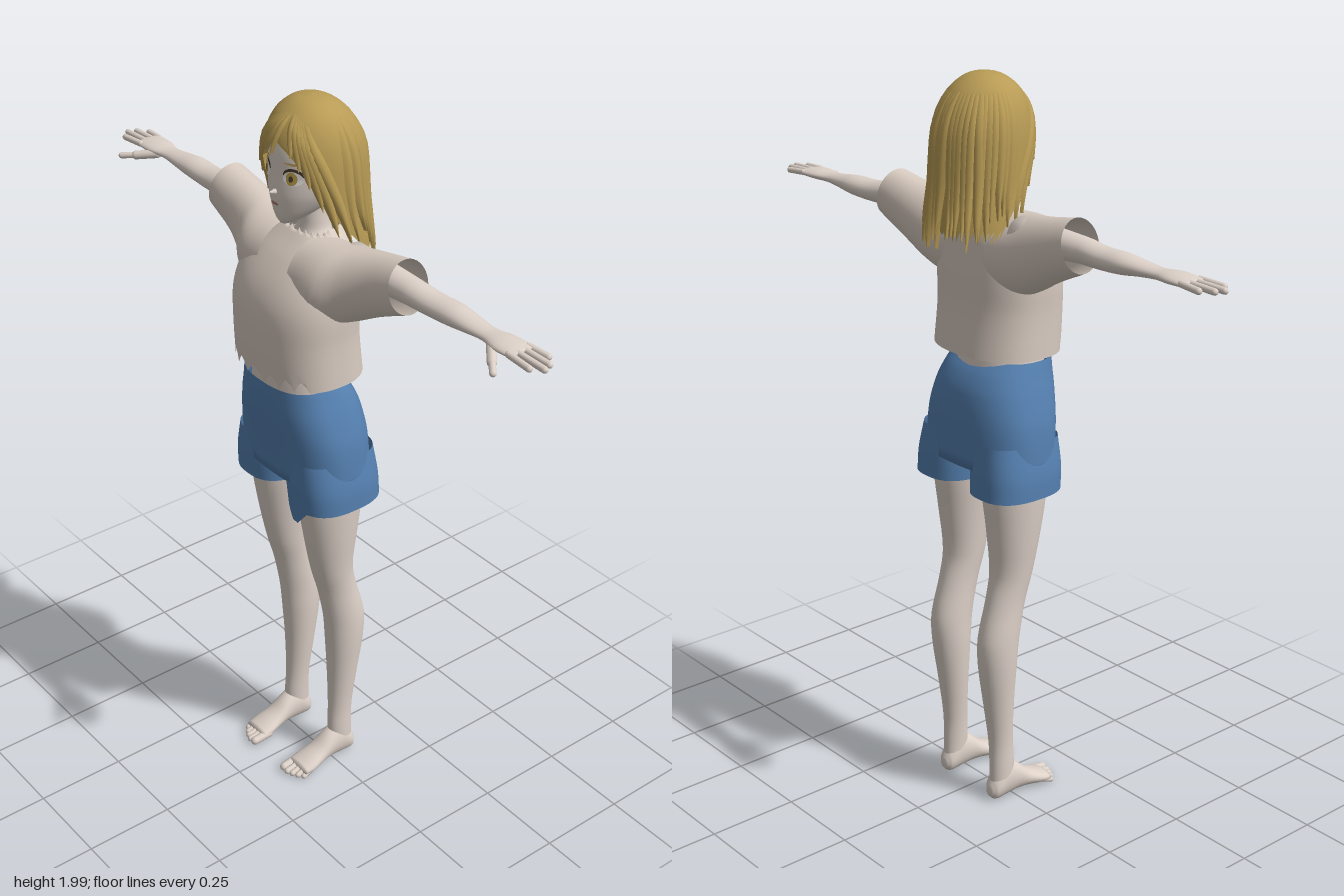
import * as THREE from 'three';

const mat = (name, color) => {
  const m = new THREE.MeshStandardMaterial({ color, side: THREE.DoubleSide });
  m.name = name;
  return m;
};

// Smooth interpolation of a table whose first column is a rising key
function sample(rows, v) {
  const n = rows.length;
  let i = 0;
  while (i < n - 2 && v > rows[i + 1][0]) i++;
  const a = rows[i], b = rows[i + 1], p = rows[Math.max(i - 1, 0)], q = rows[Math.min(i + 2, n - 1)];
  const h = b[0] - a[0], t = THREE.MathUtils.clamp((v - a[0]) / h, 0, 1);
  const t2 = t * t, t3 = t2 * t;
  return a.map((_, c) => {
    if (c === 0) return v;
    const ma = ((b[c] - p[c]) / (b[0] - p[0])) * h, mb = ((q[c] - a[c]) / (q[0] - a[0])) * h;
    return (2 * t3 - 3 * t2 + 1) * a[c] + (t3 - 2 * t2 + t) * ma + (3 * t2 - 2 * t3) * b[c] + (t3 - t2) * mb;
  });
}

const refine = (rows, k = 4) => {
  const out = [];
  for (let i = 0; i < rows.length - 1; i++)
    for (let j = 0; j < k; j++) out.push(sample(rows, THREE.MathUtils.lerp(rows[i][0], rows[i + 1][0], j / k)));
  out.push(rows[rows.length - 1]);
  return out;
};

// Surface through rows of points; closed rows wrap round, caps fill the ends
function skinOver(rings, closed = true, capStart = false, capEnd = false) {
  const n = rings[0].length, pos = rings.flat(2), idx = [];
  const cols = closed ? n : n - 1;
  for (let r = 0; r < rings.length - 1; r++)
    for (let i = 0; i < cols; i++) {
      const a = r * n + i, b = r * n + ((i + 1) % n), c = a + n, d = b + n;
      idx.push(a, b, c, b, d, c);
    }
  const cap = (r, flip) => {
    const ctr = [0, 1, 2].map(k => rings[r].reduce((s, p) => s + p[k], 0) / n), ci = pos.length / 3;
    pos.push(...ctr);
    for (let i = 0; i < n; i++) {
      const a = r * n + i, b = r * n + ((i + 1) % n);
      flip ? idx.push(ci, b, a) : idx.push(ci, a, b);
    }
  };
  if (capStart) cap(0, true);
  if (capEnd) cap(rings.length - 1, false);
  const g = new THREE.BufferGeometry();
  g.setAttribute('position', new THREE.Float32BufferAttribute(pos, 3));
  g.setIndex(idx);
  g.computeVertexNormals();
  return g;
}

const pw = (v, e) => Math.sign(v) * Math.abs(v) ** (2 / e);
// Horizontal ring from [y, centreX, radiusX, zFront, zBack]
const ringY = ([y, cx, rx, zf, zb], n = 32, e = 2) => Array.from({ length: n }, (_, i) => {
  const t = (i / n) * Math.PI * 2;
  return [cx + rx * pw(Math.sin(t), e), y, (zf + zb) / 2 + ((zf - zb) / 2) * pw(Math.cos(t), e)];
});
// Ring round the x axis from [x, yTop, yBottom, zFront, zBack, slant]
const ringX = ([x, yt, yb, zf, zb, slant = 0], n = 32) => Array.from({ length: n }, (_, i) => {
  const t = (i / n) * Math.PI * 2, c = Math.cos(t);
  return [x - slant * c, (yt + yb) / 2 + ((yt - yb) / 2) * c, (zf + zb) / 2 + ((zf - zb) / 2) * Math.sin(t)];
});
// Ring round the z axis from [z, centreX, radiusX, yTop, yBottom]
const ringZ = ([z, cx, rx, yt, yb], n = 24) => Array.from({ length: n }, (_, i) => {
  const t = (i / n) * Math.PI * 2;
  return [cx + rx * Math.sin(t), (yt + yb) / 2 + ((yt - yb) / 2) * Math.cos(t), z];
});

export function createModel() {
  const model = new THREE.Group();
  const skin = mat('skin', 0xddd1c8), cloth = mat('shirt cloth', 0xd8cbc0), denim = mat('blue shorts', 0x5580b0);
  const blond = mat('blond hair', 0xb89b55), white = mat('eye white', 0xeeeae6), gold = mat('iris', 0xb59a4c);
  const dark = mat('lashes', 0x4a3b2c), lip = mat('lips', 0xa8746a);
  const add = (name, geo, m, parent = model) => {
    const mesh = new THREE.Mesh(geo, m);
    mesh.name = name;
    parent.add(mesh);
    return mesh;
  };
  const limb = (name, a, b, r, parent, flat = 1) => {
    const A = new THREE.Vector3(...a), B = new THREE.Vector3(...b), d = B.clone().sub(A);
    const m = add(name, new THREE.CapsuleGeometry(r, d.length(), 5, 10), skin, parent);
    m.position.copy(A).add(B).multiplyScalar(0.5);
    m.quaternion.setFromUnitVectors(new THREE.Vector3(0, 1, 0), d.normalize());
    m.scale.z = flat;
  };

  // Torso and neck under the clothes
  add('torso', skinOver(refine([[1.15, 0, 0.15, 0.13, -0.07], [1.3, 0, 0.13, 0.145, -0.06], [1.45, 0, 0.14, 0.13, -0.07],
    [1.6, 0, 0.11, 0.06, -0.06], [1.64, 0, 0.05, 0.03, -0.06], [1.68, 0, 0.04, 0.025, -0.055], [1.75, 0, 0.04, 0.03, -0.055]])
    .map(r => ringY(r))), skin);

  // Head
  const face = [[1.685, 0, 0.012, 0.085, 0.05], [1.7, 0, 0.035, 0.094, 0.01], [1.73, 0, 0.064, 0.1, -0.05],
    [1.77, 0, 0.086, 0.103, -0.08], [1.82, 0, 0.098, 0.098, -0.1], [1.88, 0, 0.1, 0.092, -0.105],
    [1.94, 0, 0.075, 0.065, -0.08], [1.97, 0, 0.03, 0.03, -0.04]];
  add('head', skinOver(refine(face).map(r => ringY(r, 40)), true, true, true), skin);
  const faceZ = (x, y) => {
    const [, , rx, zf, zb] = sample(face, y);
    return (zf + zb) / 2 + ((zf - zb) / 2) * Math.sqrt(Math.max(0, 1 - (x / rx) ** 2));
  };
  // Thin oval patch laid on the face
  const patch = (name, m, x, y, rx, ry, lift, start = 0, arc = Math.PI * 2) => {
    const g = new THREE.CircleGeometry(1, 20, start, arc), p = g.attributes.position;
    for (let i = 0; i < p.count; i++) {
      const px = x + p.getX(i) * rx, py = y + p.getY(i) * ry;
      p.setXYZ(i, px, py, faceZ(px, py) + lift);
    }
    g.computeVertexNormals();
    add(name, g, m);
  };
  const nose = add('nose', new THREE.ConeGeometry(0.011, 0.032, 10), skin);
  nose.rotation.x = 1.45;
  nose.position.set(0, 1.774, 0.108);
  patch('mouth', lip, 0, 1.743, 0.014, 0.004, 0.003);
  for (const s of [-1, 1]) {
    patch('eyeLash', dark, s * 0.049, 1.823, 0.025, 0.02, 0.002, 0, Math.PI);
    patch('eyeWhite', white, s * 0.049, 1.818, 0.023, 0.018, 0.0035);
    patch('iris', gold, s * 0.048, 1.818, 0.013, 0.017, 0.005);
    patch('pupil', dark, s * 0.048, 1.818, 0.005, 0.008, 0.0065);
    patch('eyebrow', blond, s * 0.05, 1.853, 0.023, 0.003, 0.003);
  }

  // Hair: shell with a face opening, covered by tapered locks
  let seed = 7;
  const rnd = () => (seed = (seed * 16807) % 2147483647) / 2147483647;
  const hair = new THREE.Group();
  hair.name = 'hair';
  model.add(hair);
  const shell = [[1.56, 0.14, 0.06, -0.16], [1.64, 0.136, 0.07, -0.158], [1.72, 0.13, 0.09, -0.15], [1.8, 0.127, 0.106, -0.145],
    [1.86, 0.123, 0.108, -0.138], [1.91, 0.112, 0.1, -0.122], [1.95, 0.092, 0.08, -0.098], [1.975, 0.066, 0.054, -0.07],
    [1.99, 0.036, 0.025, -0.04], [1.995, 0.001, -0.007, -0.009]];
  const gap = [[1.56, 2.0], [1.62, 1.75], [1.7, 1.3], [1.75, 1.05], [1.8, 0.88], [1.84, 0.72], [1.88, 0.4], [1.91, 0], [2, 0]];
  const hairPt = (t, y, out = 0) => {
    const [, rx, zf, zb] = sample(shell, y);
    return [(rx + out) * Math.sin(t), y, (zf + zb) / 2 + ((zf - zb) / 2 + out) * Math.cos(t)];
  };
  const cols = 90, tips = Array.from({ length: cols + 1 }, (_, i) => 1.59 + (i % 3 ? 0.02 : 0) + rnd() * 0.02);
  add('hairShell', skinOver(Array.from({ length: 41 }, (_, r) => tips.map((tip, i) => {
    const y = 1.995 - (1.995 - tip) * (r / 40) ** 1.5, a = Math.max(0, sample(gap, y)[1]);
    return hairPt(a + (2 * Math.PI - 2 * a) * (i / cols), y);
  })), false), blond, hair);
  const lock = (name, t0, t1, y0, y1, w, bulge = 0.009) => {
    const rows = Array.from({ length: 15 }, (_, r) => {
      const k = r / 14, y = y0 + (y1 - y0) * k, t = t0 + (t1 - t0) * Math.sin(k * Math.PI / 2);
      const half = w * (0.45 + 0.55 * Math.sin(Math.min(k * 3, 1) * Math.PI / 2)) * (1 - k ** 4) + 0.002;
      return [-1, -0.5, 0, 0.5, 1].map(u => hairPt(t + half * u, y, bulge * (1 - u * u) * Math.min(1, k * 4) - 0.001));
    });
    add(name, skinOver(rows, false), blond, hair);
  };
  for (let i = 0; i < 26; i++) {
    const t = 1.65 + (i / 25) * (2 * Math.PI - 3.3);
    lock('backLock', t, t + (rnd() - 0.5) * 0.12, 1.975, 1.565 + rnd() * 0.05 + (Math.abs(t - Math.PI) > 1.1 ? 0.06 : 0), 0.12 + rnd() * 0.04, 0.006 + rnd() * 0.006);
  }
  // Fringe swept from a parting: [end angle, end height, half width]
  for (const [t, y, w] of [[-0.02, 1.872, 0.1], [-0.25, 1.862, 0.14], [-0.48, 1.845, 0.15], [-0.68, 1.82, 0.15], [-0.86, 1.78, 0.14],
    [-1.02, 1.72, 0.14], [-1.2, 1.66, 0.15], [-1.42, 1.64, 0.15], [0.45, 1.875, 0.12], [0.62, 1.845, 0.14], [0.8, 1.8, 0.14],
    [0.98, 1.74, 0.14], [1.18, 1.67, 0.15], [1.42, 1.64, 0.15]])
    lock('fringeLock', 0.25 + (t - 0.25) * 0.35, t, 1.97, y, w);

  // Shirt body with jagged hem and neckline
  const N = 88;
  const zig = i => Math.abs((i % 4) - 2) / 2;
  const body = refine([[1.285, 0, 0.175, 0.17, -0.105], [1.4, 0, 0.174, 0.175, -0.092], [1.48, 0, 0.178, 0.17, -0.09],
    [1.54, 0, 0.172, 0.148, -0.088], [1.6, 0, 0.15, 0.105, -0.085], [1.64, 0, 0.11, 0.065, -0.075], [1.665, 0, 0.07, 0.04, -0.068]])
    .map(r => ringY(r, N, 2.4));
  body[0].forEach((p, i) => { if (p[2] > 0.06 && Math.abs(p[0]) < 0.15) p[1] += 0.038 * zig(i); });
  body[body.length - 1].forEach((p, i) => { p[1] -= p[2] > 0 ? 0.02 * zig(i) : 0; });
  add('shirtBody', skinOver(body), cloth);

  // Shorts: hips, then two legs, the left hem with a hanging point
  add('shortsHips', skinOver(refine([[0.985, 0, 0.199, 0.128, -0.113], [1.1, 0, 0.19, 0.14, -0.11], [1.18, 0, 0.168, 0.15, -0.098],
    [1.23, 0, 0.15, 0.152, -0.075], [1.265, 0, 0.138, 0.152, -0.045]]).map(r => ringY(r, 48, 2.5)), true, true), denim);

  for (const s of [1, -1]) {
    const side = new THREE.Group();
    side.name = s > 0 ? 'leftSide' : 'rightSide';
    side.scale.x = s;
    model.add(side);

    const trouser = refine([[0.918, 0, 0.11, 0.096, 0.122, -0.117], [0.98, 0, 0.107, 0.096, 0.126, -0.114],
      [1.06, 0, 0.1, 0.085, 0.125, -0.105]].map(r => [r[0], ...r.slice(2)])).map(r => ringY(r, 48, 2.6));
    trouser[0].forEach(p => {
      if (s > 0 && p[2] > 0.08) p[1] -= 0.055 * Math.max(0, 1 - Math.abs(p[0] - 0.1) / 0.045);
    });
    add('shortsLeg', skinOver(trouser), denim, side);

    // Sleeve, open at a slanted cuff
    add('sleeve', skinOver(refine([[0.06, 1.655, 1.44, 0.12, -0.08, 0], [0.14, 1.66, 1.45, 0.115, -0.085, 0],
      [0.2, 1.667, 1.475, 0.08, -0.083, 0.003], [0.27, 1.677, 1.515, 0.056, -0.08, 0.008],
      [0.36, 1.692, 1.56, 0.046, -0.076, 0.016]]).map(r => ringX(r, 40))), cloth, side);

    // Arm and palm
    add('arm', skinOver(refine([[0.15, 1.66, 1.57, 0.03, -0.065], [0.37, 1.652, 1.586, 0.02, -0.055], [0.45, 1.644, 1.588, 0.016, -0.058],
      [0.52, 1.644, 1.592, 0.014, -0.06], [0.58, 1.637, 1.6, 0.01, -0.053], [0.635, 1.632, 1.605, 0.006, -0.048],
      [0.68, 1.634, 1.606, 0.018, -0.058], [0.72, 1.632, 1.608, 0.018, -0.06], [0.745, 1.628, 1.612, 0.014, -0.058]])
      .map(r => ringX(r, 24)), true, true, true), skin, side);
    for (const [z0, z1, tip] of [[0.01, 0.014, 0.8], [-0.011, -0.01, 0.824], [-0.032, -0.033, 0.815], [-0.051, -0.056, 0.788]])
      limb('finger', [0.73, 1.621, z0], [tip, 1.618, z1], 0.0085, side);
    limb('thumb', [0.665, 1.612, 0.002], [0.71, 1.603, 0.04], 0.012, side);
    limb('thumbTip', [0.705, 1.604, 0.036], [0.742, 1.598, 0.066], 0.0085, side);

    // Leg
    add('leg', skinOver(refine([[0.04, 0.1, 0.028, 0, -0.07], [0.1, 0.1, 0.029, 0.004, -0.07], [0.18, 0.098, 0.031, 0, -0.071],
      [0.3, 0.097, 0.041, 0.001, -0.086], [0.42, 0.098, 0.05, 0.008, -0.103], [0.5, 0.099, 0.051, 0.016, -0.104],
      [0.6, 0.098, 0.05, 0.036, -0.077], [0.68, 0.098, 0.056, 0.058, -0.06], [0.8, 0.1, 0.068, 0.082, -0.07],
      [0.92, 0.1, 0.078, 0.1, -0.085], [1.02, 0.1, 0.08, 0.1, -0.09]]).map(r => ringY(r)), true, true, true), skin, side);

    // Foot and toes
    add('foot', skinOver(refine([[-0.078, 0.1, 0.012, 0.045, 0.018], [-0.065, 0.1, 0.026, 0.07, 0.006], [-0.03, 0.1, 0.031, 0.11, 0.006],
      [0.01, 0.1, 0.032, 0.098, 0.01], [0.05, 0.1, 0.036, 0.065, 0.01], [0.09, 0.1, 0.042, 0.045, 0.006],
      [0.118, 0.099, 0.04, 0.033, 0.008]]).map(r => ringZ(r)), true, true, true), skin, side);
    for (const [x, z, r] of [[0.068, 0.143, 0.012], [0.086, 0.145, 0.009], [0.102, 0.139, 0.0085], [0.117, 0.131, 0.008], [0.131, 0.12, 0.008]])
      limb('toe', [x, 0.019, 0.095], [x + 0.002, r + 0.002, z], r, side);
  }
  return model;
}
